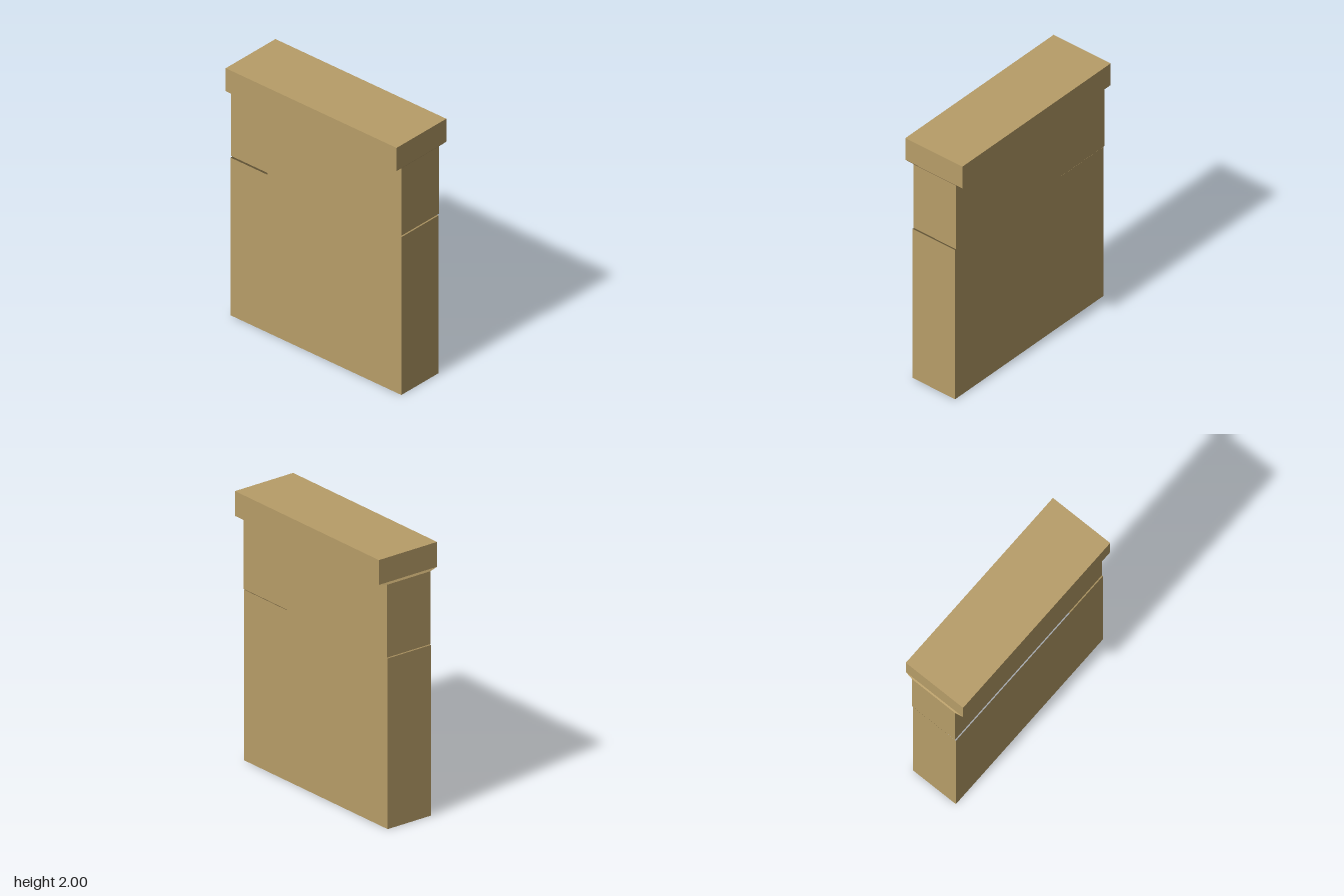
import * as THREE from 'three';

const stone = new THREE.MeshStandardMaterial({ color: 0xb79d68, side: THREE.DoubleSide });
stone.name = 'sandstone';

// Open rectangular skin through sections [y, xMin, xMax, zMin, zMax], listed bottom to top
function skin(name, sections, closeTop = false) {
  const pos = [];
  const idx = [];
  for (const [y, x0, x1, z0, z1] of sections) {
    pos.push(x0, y, z1, x1, y, z1, x1, y, z0, x0, y, z0);
  }
  for (let s = 0; s < sections.length - 1; s++) {
    for (let i = 0; i < 4; i++) {
      const a = s * 4 + i, b = s * 4 + (i + 1) % 4;
      idx.push(a, b, b + 4, a, b + 4, a + 4);
    }
  }
  if (closeTop) {
    const t = (sections.length - 1) * 4;
    idx.push(t, t + 1, t + 2, t, t + 2, t + 3);
  }
  const indexed = new THREE.BufferGeometry();
  indexed.setAttribute('position', new THREE.Float32BufferAttribute(pos, 3));
  indexed.setIndex(idx);
  const geo = indexed.toNonIndexed(); // hard edges
  geo.computeVertexNormals();
  const mesh = new THREE.Mesh(geo, stone);
  mesh.name = name;
  return mesh;
}

export function createModel() {
  const model = new THREE.Group();
  model.name = 'wallPillar';

  // Hollow lower wall, open underneath
  model.add(skin('lowerWall', [
    [0, -0.782, 0.773, -0.183, 0.196],
    [1.258, -0.782, 0.773, -0.183, 0.196],
  ]));

  // Upper wall, separated from the lower one by a hairline joint
  model.add(skin('upperWall', [
    [1.267, -0.784, 0.77, -0.19, 0.189],
    [1.804, -0.784, 0.77, -0.19, 0.189],
  ]));

  // Sloped ledge spreading out to the coping
  model.add(skin('ledge', [
    [1.804, -0.784, 0.77, -0.19, 0.189],
    [1.817, -0.775, 0.781, -0.254, 0.254],
  ]));

  // Coping block with its flat top
  model.add(skin('coping', [
    [1.817, -0.775, 0.781, -0.254, 0.254],
    [2, -0.775, 0.781, -0.254, 0.254],
  ], true));

  return model;
}
